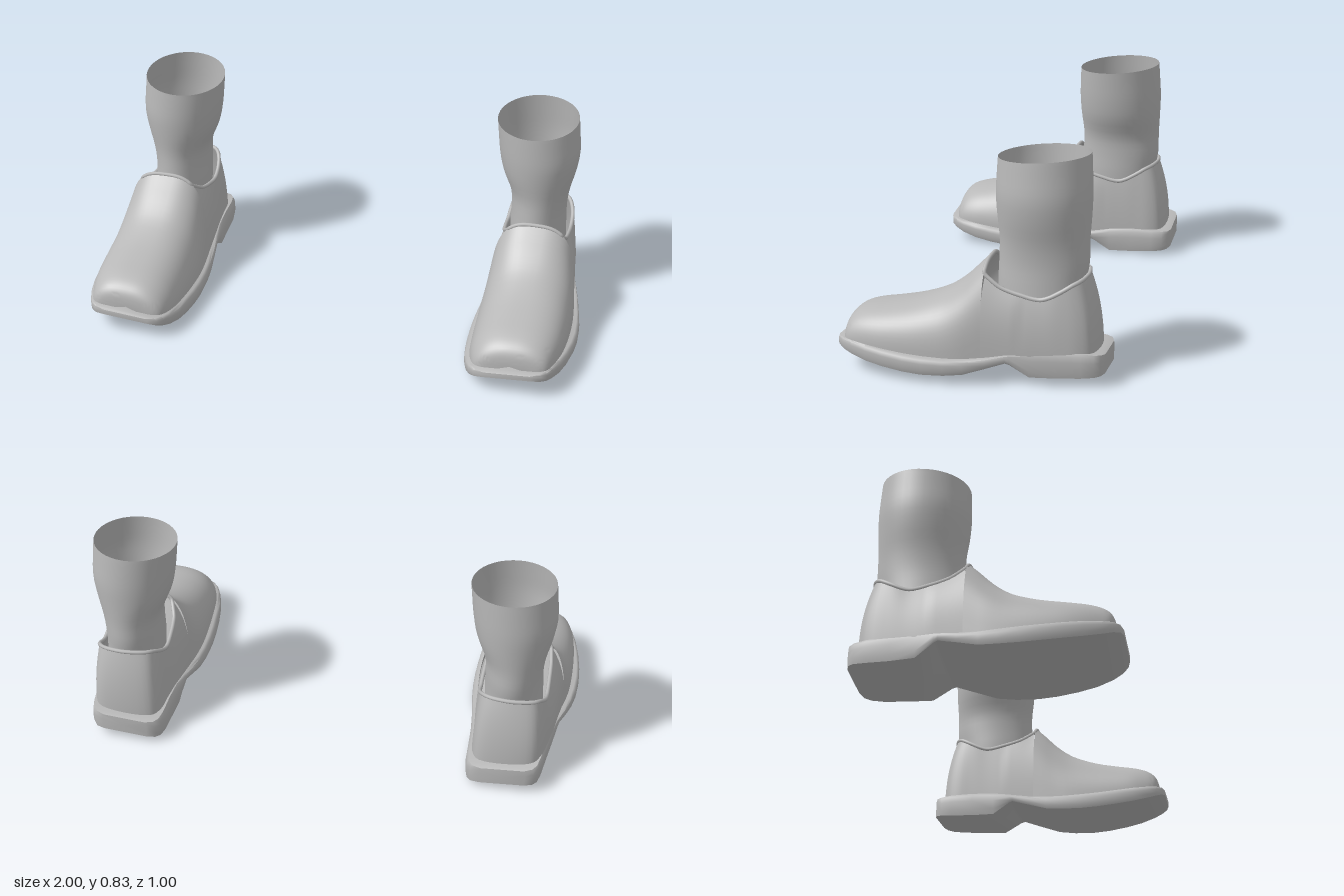
import * as THREE from 'three';
import { toCreasedNormals } from 'three/addons/utils/BufferGeometryUtils.js';

const grey = new THREE.MeshStandardMaterial({ color: 0xb8b8b8, side: THREE.DoubleSide });
grey.name = 'plain grey';

// Skin a list of equally long point rows; side = -1 mirrors it for the right foot
function skin(name, rows, side, crease) {
  const n = rows[0].length, pos = [], index = [];
  for (const row of rows) for (const [x, y, z] of row) pos.push(x * side, y, z);
  for (let i = 0; i < rows.length - 1; i++)
    for (let j = 0; j < n - 1; j++) {
      const a = i * n + j, b = a + 1, c = a + n, d = c + 1;
      if (side > 0) index.push(a, c, b, b, c, d);
      else index.push(a, b, c, b, d, c);
    }
  const g = new THREE.BufferGeometry();
  g.setAttribute('position', new THREE.Float32BufferAttribute(pos, 3));
  g.setIndex(index);
  const mesh = new THREE.Mesh(toCreasedNormals(g, crease), grey);
  mesh.name = name;
  return mesh;
}

// Collapse a row to its middle, to close an end
function middle(row) {
  const m = [0, 1, 2].map(k => row.reduce((s, p) => s + p[k], 0) / row.length);
  return row.map(() => m);
}

// Smoothly resample a table, column by column
function smooth(table, steps) {
  const out = [], last = table.length - 1;
  for (let i = 0; i <= last * steps; i++) {
    const k = Math.min(Math.floor(i / steps), last - 1), t = i / steps - k;
    const at = q => table[Math.max(0, Math.min(last, q))];
    out.push(table[0].map((_, c) => {
      const [p, a, b, q] = [at(k - 1)[c], at(k)[c], at(k + 1)[c], at(k + 2)[c]];
      return a + 0.5 * t * (b - p + t * (2 * p - 5 * a + 4 * b - q + t * (3 * (a - b) + q - p)));
    }));
  }
  return out;
}

// The shoe leans: its outer edge sits higher, fading out towards the ankle
const lean = ([x, y, z]) =>
  [x, y + 0.08 * (x - 0.785) * (1 - THREE.MathUtils.smoothstep(y, 0.15, 0.35)), z];

// z, inner x, outer x, bottom y, top y
const SOLE = [
  [0.498, 0.68, 0.87, 0.086, 0.108], [0.488, 0.645, 0.905, 0.08, 0.112], [0.465, 0.622, 0.928, 0.07, 0.112],
  [0.43, 0.604, 0.945, 0.058, 0.109], [0.37, 0.588, 0.967, 0.043, 0.103], [0.3, 0.578, 0.984, 0.032, 0.095],
  [0.22, 0.572, 0.996, 0.023, 0.087], [0.15, 0.57, 1.0, 0.019, 0.083], [0.07, 0.572, 0.996, 0.021, 0.081],
  [0, 0.578, 0.985, 0.028, 0.083], [-0.08, 0.588, 0.968, 0.053, 0.092], [-0.15, 0.597, 0.95, 0.075, 0.105],
  [-0.165, 0.598, 0.946, 0.07, 0.108], [-0.235, 0.604, 0.932, 0.024, 0.119], [-0.33, 0.608, 0.92, 0.025, 0.124],
  [-0.42, 0.61, 0.91, 0.03, 0.122], [-0.465, 0.618, 0.9, 0.034, 0.118], [-0.487, 0.635, 0.883, 0.037, 0.116],
  [-0.498, 0.67, 0.85, 0.04, 0.113]];

const SOLE_EDGE = [[0.97, 0], [1, 0.25], [1, 0.65], [0.985, 0.88], [0.94, 1]];

// z, inner x, outer x, base y, crown y, squareness
const VAMP = [
  [0.47, 0.68, 0.88, 0.095, 0.14, 2.6], [0.465, 0.655, 0.905, 0.095, 0.17, 2.5], [0.45, 0.635, 0.925, 0.092, 0.195, 2.4],
  [0.42, 0.62, 0.938, 0.09, 0.215, 2.4], [0.37, 0.607, 0.952, 0.088, 0.23, 2.4], [0.3, 0.6, 0.964, 0.08, 0.243, 2.4],
  [0.2, 0.595, 0.97, 0.072, 0.265, 2.4], [0.1, 0.593, 0.97, 0.068, 0.303, 2.4], [0.03, 0.597, 0.965, 0.07, 0.353, 2.6],
  [-0.02, 0.601, 0.957, 0.075, 0.403, 2.8], [-0.06, 0.605, 0.95, 0.08, 0.44, 3]];

// Heel wall from the inner side round the back: base x, z, rim x, y, z
const QUARTER = [
  [0.605, -0.055, 0.667, 0.402, -0.065], [0.609, -0.12, 0.645, 0.362, -0.12], [0.614, -0.2, 0.637, 0.337, -0.2],
  [0.62, -0.27, 0.636, 0.326, -0.27], [0.625, -0.34, 0.64, 0.352, -0.33], [0.632, -0.41, 0.657, 0.382, -0.38],
  [0.665, -0.456, 0.692, 0.392, -0.408], [0.765, -0.469, 0.766, 0.394, -0.42], [0.865, -0.456, 0.84, 0.392, -0.408],
  [0.9, -0.41, 0.874, 0.382, -0.38], [0.915, -0.34, 0.892, 0.352, -0.33], [0.925, -0.27, 0.895, 0.326, -0.27],
  [0.935, -0.2, 0.895, 0.337, -0.2], [0.943, -0.12, 0.893, 0.362, -0.12], [0.95, -0.055, 0.885, 0.402, -0.065]];

// y, inner x, outer x, back z, front z
const SOCK = [
  [0.13, 0.66, 0.88, -0.4, -0.1], [0.25, 0.655, 0.88, -0.403, -0.09], [0.35, 0.65, 0.875, -0.408, -0.085],
  [0.43, 0.65, 0.872, -0.42, -0.088], [0.51, 0.643, 0.88, -0.42, -0.09], [0.6, 0.607, 0.9, -0.424, -0.08],
  [0.68, 0.59, 0.91, -0.426, -0.075], [0.76, 0.581, 0.903, -0.422, -0.077], [0.82, 0.575, 0.897, -0.418, -0.08]];

function buildShoe(side) {
  const shoe = new THREE.Group();
  shoe.name = side > 0 ? 'leftShoe' : 'rightShoe';

  // Sole with the heel block
  const soleRows = SOLE.map(([z, xi, xo, b, t]) => {
    const c = (xi + xo) / 2, w = (xo - xi) / 2;
    const right = SOLE_EDGE.map(([u, v]) => [c + w * u, b + (t - b) * v, z]);
    const left = SOLE_EDGE.map(([u, v]) => [c - w * u, b + (t - b) * v, z]).reverse();
    return [...right, ...left, right[0]].map(lean);
  });
  shoe.add(skin('sole', [middle(soleRows[0]), ...soleRows, middle(soleRows.at(-1))], side, 0.75));

  // Front of the upper, as arches from toe to instep
  const arches = smooth(VAMP, 3).map(([z, xi, xo, b, h, n]) => {
    const row = [];
    for (let k = 0; k <= 32; k++) {
      const a = Math.PI * k / 32, co = Math.cos(a), si = Math.max(0, Math.sin(a));
      row.push(lean([(xi + xo) / 2 + (xo - xi) / 2 * Math.sign(co) * Math.abs(co) ** (2 / n),
        b + (h - b) * si ** (2 / n), z]));
    }
    return row;
  });
  shoe.add(skin('vamp', [middle(arches[0]), ...arches], side, 1.2));

  // Heel wall up to the dipped rim
  const wall = smooth(QUARTER, 4), wallRows = [];
  for (let k = 0; k <= 10; k++) {
    const v = k / 10;
    wallRows.push(wall.map(([bx, bz, rx, ry, rz]) => {
      const f = v ** (bz > -0.2 ? 3 : 2.2);
      return lean([bx + (rx - bx) * f, 0.085 + (ry - 0.085) * v, bz + (rz - bz) * f]);
    }));
  }
  shoe.add(skin('heelWall', wallRows, side, 1.2));

  // Rolled collar round the opening
  const front = arches.at(-1).filter(p => p[1] > 0.41);
  const loop = [...wallRows.at(-1).filter((_, i) => i % 2 === 0), ...front]
    .map(([x, y, z]) => new THREE.Vector3(x * side, y - 0.004, z));
  const collar = new THREE.Mesh(
    new THREE.TubeGeometry(new THREE.CatmullRomCurve3(loop, true), 120, 0.008, 8, true), grey);
  collar.name = 'collar';
  shoe.add(collar);

  // Open-topped sock, its rim a little lower at the front and inside
  const rings = smooth(SOCK, 3).map(([y, xi, xo, zb, zf]) => {
    const row = [], top = THREE.MathUtils.smoothstep(y, 0.6, 0.82);
    for (let k = 0; k <= 40; k++) {
      const a = 2 * Math.PI * k / 40, co = Math.cos(a), si = Math.sin(a);
      row.push([(xi + xo) / 2 + (xo - xi) / 2 * co,
        y + top * (0.006 * co - 0.012 * si), (zb + zf) / 2 + (zf - zb) / 2 * si]);
    }
    return row;
  });
  shoe.add(skin('sock', [middle(rings[0]), ...rings], side, 1.2));
  return shoe;
}

export function createModel() {
  const model = new THREE.Group();
  model.name = 'pairOfShoes';
  for (const side of [1, -1]) model.add(buildShoe(side));
  return model;
}
